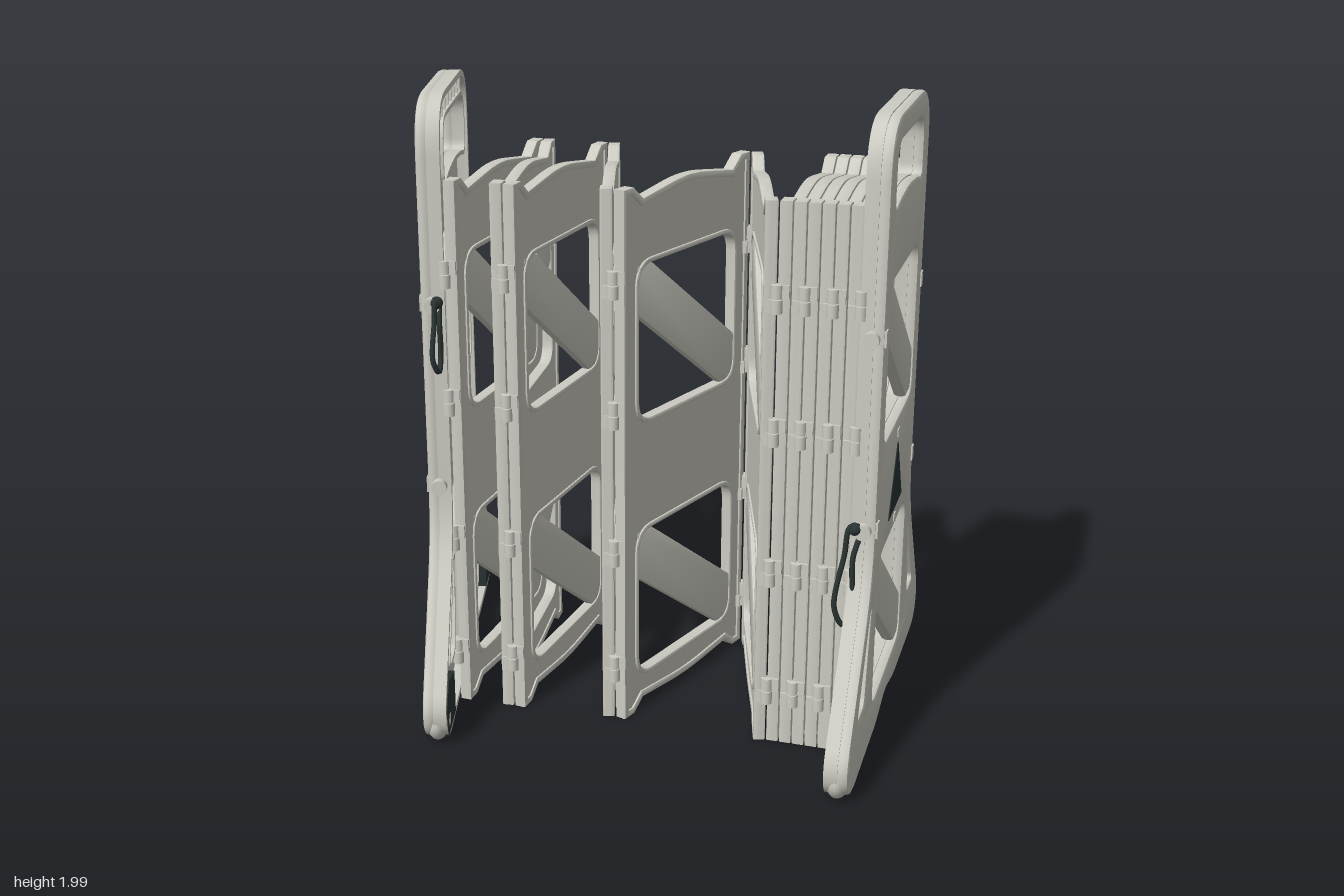
import * as THREE from 'three';
import { toCreasedNormals } from 'three/addons/utils/BufferGeometryUtils.js';

const plastic = new THREE.MeshStandardMaterial({ color: 0xcdccc3 });
const dark = new THREE.MeshStandardMaterial({ color: 0x2a3333 });

function add(parent, name, geo, mat = plastic, x = 0, y = 0, z = 0) {
  const m = new THREE.Mesh(geo, mat);
  m.name = name;
  m.position.set(x, y, z);
  parent.add(m);
  return m;
}

// Closed counter-clockwise polygon; each corner is [x, y, cut] and is rounded by its cut
function rounded(corners) {
  const out = [];
  const n = corners.length;
  corners.forEach(([x, y, r = 0], i) => {
    const p = new THREE.Vector2(x, y);
    if (!r) return out.push(p);
    const [a, b] = [corners[(i + n - 1) % n], corners[(i + 1) % n]].map(([qx, qy]) => {
      const d = new THREE.Vector2(qx, qy).sub(p);
      return p.clone().addScaledVector(d, Math.min(r / d.length(), 0.48));
    });
    out.push(...new THREE.QuadraticBezierCurve(a, p, b).getPoints(6));
  });
  return out;
}

// Shift a polygon inward by d (outward when negative)
function inset(pts, d) {
  const n = pts.length;
  return pts.map((p, i) => {
    const a = p.clone().sub(pts[(i + n - 1) % n]).normalize();
    const b = pts[(i + 1) % n].clone().sub(p).normalize();
    const na = new THREE.Vector2(-a.y, a.x), nb = new THREE.Vector2(-b.y, b.x);
    return p.clone().addScaledVector(na.clone().add(nb), d / (1 + na.dot(nb)));
  });
}

// Plate between depths z0 and z1
function plate(pts, holes, z0, z1, bevel = 0) {
  const s = new THREE.Shape(pts);
  s.holes = holes.map(h => new THREE.Path(h));
  const g = new THREE.ExtrudeGeometry(s, {
    depth: z1 - z0 - 2 * bevel, bevelEnabled: bevel > 0, bevelThickness: bevel,
    bevelSize: bevel, bevelOffset: -bevel, bevelSegments: 2,
  });
  g.translate(0, 0, z0 + bevel);
  return toCreasedNormals(g, 0.6);
}

const mirror = half => [...half, ...half.filter(c => c[0] > 0).reverse().map(([x, y, r]) => [-x, y, r])];
const windowLevels = [0.385, 1.26];
const windows = windowLevels.map(y => rounded([
  [-0.272, y - 0.25, 0.07], [0.272, y - 0.25, 0.07], [0.272, y + 0.25, 0.07], [-0.272, y + 0.25, 0.07]]));
const brace = [[-0.28, 0.25], [-0.28, 0.1], [0.2, -0.25], [0.28, -0.25], [0.28, -0.1], [-0.2, 0.25]];

// Turn a panel so that its local x runs along (dx, dz)
function place(g, x, z, dx, dz) {
  g.position.set(x, 0, z);
  g.rotation.y = Math.atan2(-dz, dx);
}

function endPanel() {
  const g = new THREE.Group();
  const outline = rounded(mirror([
    [0, 0.05, 0.06], [0.17, 0.012, 0.05], [0.6, 0.006, 0.06], [0.668, 0.05, 0.05], [0.68, 0.14, 0.05],
    [0.4, 0.56, 0.1], [0.36, 0.7, 0.1], [0.36, 2, 0.17]]));
  const grip = rounded([[-0.26, 1.725, 0.04], [-0.16, 1.745, 0.05], [0, 1.757, 0.06], [0.16, 1.745, 0.05],
    [0.26, 1.725, 0.04], [0.26, 1.92, 0.08], [-0.26, 1.92, 0.08]]);
  const slots = [1, -1].map(s => {
    const c = [[0.42, 0.22, 0.03], [0.54, 0.22, 0.03], [0.375, 0.52, 0.03], [0.35, 0.52, 0.03]];
    return rounded(s > 0 ? c : c.map(([x, y, r]) => [-x, y, r]).reverse());
  });
  const holes = [grip, ...windows, ...slots];
  add(g, 'endPanelFace', plate(outline, holes, 0, 0.0375, 0.013));
  // Hollow back: walls along the outline and around every opening
  add(g, 'outerRim', plate(outline, [inset(outline, 0.02)], -0.0375, 0.004));
  holes.forEach(h => add(g, 'openingRim', plate(inset(h, -0.014), [h], -0.0375, 0.004)));
  windowLevels.forEach(y => add(g, 'brace', plate(brace.map(([x, v]) => new THREE.Vector2(x, v)), [],
    -0.015, 0.03, 0.014), plastic, 0, y));
  // Ribs inside the handle
  for (let i = -3; i <= 3; i++) add(g, 'handleRib', new THREE.BoxGeometry(0.01, 0.07, 0.035), plastic, i * 0.075, 1.957, -0.015);
  for (const s of [-1, 1]) {
    // Foot pads and rounded foot ends
    const pad = [[0.47, 0.025], [0.64, 0.03], [0.665, 0.13], [0.6, 0.2], [0.47, 0.17]]
      .map(([x, y]) => new THREE.Vector2(s * x, y));
    add(g, 'footPad', plate(s > 0 ? pad : pad.reverse(), [], -0.04, 0.005), dark);
    add(g, 'footEnd', new THREE.SphereGeometry(0.066, 20, 14), plastic, s * 0.608, 0.072, -0.003).scale.z = 0.6;
    // Cord cleats on the edges
    for (const y of [0.77, 1.37]) {
      add(g, 'cordCleat', new THREE.CylinderGeometry(0.025, 0.025, 0.04, 14).rotateZ(Math.PI / 2), plastic, s * 0.365, y, 0);
      add(g, 'cleatTab', new THREE.BoxGeometry(0.03, 0.05, 0.012), plastic, s * 0.34, y, 0.036);
    }
  }
  // Warning triangle with a slipping figure
  const tri = rounded([[-0.128, 0.708, 0.012], [0.128, 0.708, 0.012], [0, 0.935, 0.012]]);
  add(g, 'warningTriangle', plate(tri, [inset(tri, 0.014)], 0.036, 0.04), dark);
  add(g, 'figureHead', new THREE.CylinderGeometry(0.011, 0.011, 0.004, 12).rotateX(Math.PI / 2), dark, -0.035, 0.825, 0.038);
  [[-0.03, 0.805, 0.005, 0.765, 0.018], [0.005, 0.765, 0.05, 0.785, 0.01], [0.005, 0.765, 0.035, 0.75, 0.01],
    [0.035, 0.75, 0.06, 0.755, 0.008], [-0.025, 0.8, 0.02, 0.81, 0.008], [-0.025, 0.795, -0.05, 0.765, 0.008]]
    .forEach(([x0, y0, x1, y1, w]) => {
      const m = add(g, 'figureLimb', new THREE.BoxGeometry(Math.hypot(x1 - x0, y1 - y0), w, 0.004), dark,
        (x0 + x1) / 2, (y0 + y1) / 2, 0.038);
      m.rotation.z = Math.atan2(y1 - y0, x1 - x0);
    });
  for (const y of [0.675, 0.962]) add(g, 'signClip', new THREE.BoxGeometry(0.03, 0.024, 0.01), plastic, 0, y, 0.036);
  return g;
}

// One folding panel, shared by all twelve
const foldOutline = rounded(mirror([[0, 0.025, 0.1], [0.25, 0.045], [0.3, 0.006], [0.352, 0.006],
  [0.352, 1.757], [0.3, 1.757], [0.25, 1.715], [0, 1.752, 0.1]]));
const foldParts = [
  ['foldPanelWeb', plate(foldOutline, windows, -0.013, 0.013)],
  ['foldPanelRim', plate(foldOutline, [inset(foldOutline, 0.022)], -0.019, 0.019, 0.003)],
  ...windows.map(w => ['windowRim', plate(inset(w, -0.016), [w], -0.019, 0.019, 0.004)]),
  ...windowLevels.map(y => ['brace', plate(brace.map(([x, v]) => new THREE.Vector2(x, v + y)), [], -0.015, 0.015, 0.006)]),
];

// Hanging cord loop; out = sideways direction in the ground plane
function cord(parent, x, y, z, ox, oz, drop) {
  const pts = [[0, 0], [0.035, 0.03], [0.05, -0.25], [0.078, -0.8], [0.058, -1], [0.034, -0.82], [0.035, -0.3]]
    .map(([o, v], i) => new THREE.Vector3(x + ox * o + (i > 3 ? 0.012 : 0), y + v * drop, z + oz * o));
  const g = new THREE.TubeGeometry(new THREE.CatmullRomCurve3(pts, true), 70, 0.0085, 8, true);
  add(parent, 'cordLoop', g, dark);
  add(parent, 'cordKnot', new THREE.SphereGeometry(0.02, 12, 10), dark, x + ox * 0.02, y, z + oz * 0.02);
}

export function createModel() {
  const model = new THREE.Group();
  model.name = 'foldingBarrier';

  // End panels
  const left = endPanel();
  left.name = 'leftEndPanel';
  place(left, -0.642, 0.035, 0.265, 0.964);
  const right = endPanel();
  right.name = 'rightEndPanel';
  place(right, 0.808, -0.013, 0, -1);
  model.add(left, right);

  // Hinge lines: opened zigzag, then the folded stack
  const joints = [[-0.51, 0.365], [-0.435, -0.34], [-0.32, 0.36], [-0.208, -0.34], [0.02, 0.335], [0.28, -0.33], [0.522, 0.337]];
  for (let i = 1; i <= 6; i++) joints.push([0.522 + i * 0.0415, i % 2 ? -0.37 : 0.337]);

  // Folding panels between neighbouring hinge lines
  for (let i = 0; i < joints.length - 1; i++) {
    const [ax, az] = joints[i], [bx, bz] = joints[i + 1];
    const g = new THREE.Group();
    g.name = 'foldPanel';
    foldParts.forEach(([name, geo]) => add(g, name, geo));
    place(g, (ax + bx) / 2, (az + bz) / 2, bx - ax - 0.0415, bz - az);
    model.add(g);
  }

  // Hinge knuckles
  const knuckle = new THREE.CylinderGeometry(0.018, 0.018, 0.042, 14);
  const leaf = new THREE.BoxGeometry(0.036, 0.042, 0.034);
  joints.forEach(([x, z], i) => {
    const s = i % 2 ? -1 : 1;
    for (const y of [0.185, 0.59, 1.05, 1.465]) for (const k of [-1, 1]) {
      add(model, 'hingeKnuckle', knuckle, plastic, x, y + k * 0.0225, z + s * 0.002);
      add(model, 'hingeLeaf', leaf, plastic, x + k * 0.02, y + k * 0.0225, z - s * 0.01);
    }
  });

  // Cords
  cord(model, -0.53, 1.38, 0.375, 0.1, 1, 0.21);
  cord(model, 0.79, 1.38, -0.375, -0.2, -1, 0.21);
  cord(model, 0.8, 0.78, 0.355, -0.8, 0.6, 0.31);
  cord(model, -0.72, 0.78, -0.33, 0.8, -0.3, 0.31);
  return model;
}
